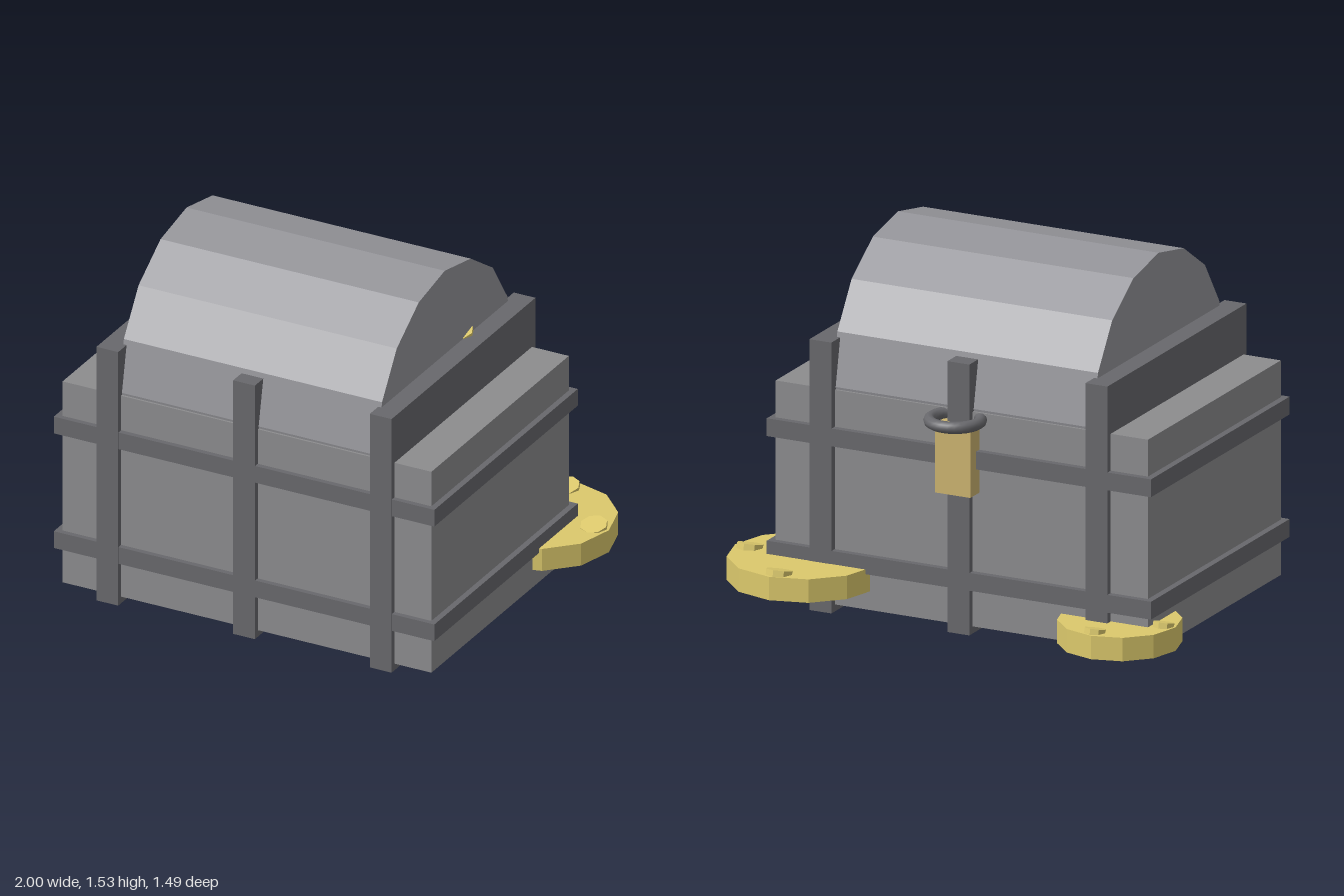
import * as THREE from 'three';

const material = (color) => new THREE.MeshStandardMaterial({ color, flatShading: true });
const wood = material(0x8c8c8e);
const lidWood = material(0x949499);
const iron = material(0x68686c);
const gold = material(0xdcc96c);
const brass = material(0xccb470);

function add(parent, name, geometry, mat, x, y, z) {
  const mesh = new THREE.Mesh(geometry, mat);
  mesh.name = name;
  mesh.position.set(x, y, z);
  parent.add(mesh);
  return mesh;
}

// Box given by its minimum and maximum corners
function addBox(parent, name, mat, [x0, y0, z0], [x1, y1, z1]) {
  return add(parent, name, new THREE.BoxGeometry(x1 - x0, y1 - y0, z1 - z0), mat,
    (x0 + x1) / 2, (y0 + y1) / 2, (z0 + z1) / 2);
}

// Small tilted stud, rising towards the back
function addStud(parent, x, y, z, r) {
  const stud = add(parent, 'coinStud', new THREE.CylinderGeometry(r, r, 0.03, 8), gold, x, y, z);
  stud.rotation.x = 0.24;
}

// Twelve-sided coin with studs on its upper face
function addCoin(parent, name, x, y, z, r, studs) {
  const coin = new THREE.Group();
  coin.name = name;
  coin.position.set(x, y, z);
  add(coin, 'coinDisc', new THREE.CylinderGeometry(r, r, 0.1, 12), gold, 0, 0, 0);
  for (const [sx, sz] of studs) addStud(coin, sx, 0.049, sz, r * 0.18);
  parent.add(coin);
}

export function createModel() {
  const chest = new THREE.Group();
  chest.name = 'chest';
  const cx = -0.05, cz = 0.13;

  addBox(chest, 'chestBody', wood, [-0.9, 0.03, -0.455], [0.8, 0.945, 0.72]);

  // Sixteen-sided rounded lid, its lower half sunk in the body
  const lid = new THREE.CylinderGeometry(0.58, 0.58, 1.19, 16);
  lid.rotateZ(Math.PI / 2);
  add(chest, 'lid', lid, lidWood, cx, 0.955, cz + 0.003);

  // Iron straps
  for (const x of [-0.68, cx, 0.58]) {
    addBox(chest, 'uprightStrap', iron, [x - 0.05, 0, -0.485], [x + 0.05, 1.155, 0.745]);
  }
  for (const y of [0.228, 0.75]) {
    addBox(chest, 'levelStrap', iron, [-0.928, y - 0.038, -0.483], [0.826, y + 0.038, 0.743]);
  }

  // Padlock on the back
  const lock = new THREE.Group();
  lock.name = 'padlock';
  addBox(lock, 'lockBody', brass, [cx - 0.08, 0.605, -0.535], [cx + 0.08, 0.9, -0.44]);
  const ring = new THREE.TorusGeometry(0.105, 0.025, 10, 28);
  ring.rotateX(Math.PI / 2);
  const ringMaterial = new THREE.MeshStandardMaterial({ color: 0x68686c });
  add(lock, 'lockRing', ring, ringMaterial, cx, 0.92, -0.513);
  chest.add(lock);

  // Coins under the back corners, and a stray stud beside the lid
  addCoin(chest, 'largeCoin', 0.68, 0.16, -0.43, 0.318, [[-0.015, -0.255], [0.25, 0]]);
  addCoin(chest, 'smallCoin', -0.745, 0.095, -0.405, 0.255, [[0.01, -0.2], [-0.2, 0]]);
  addStud(chest, 0.51, 1.154, -0.065, 0.055);

  return chest;
}
